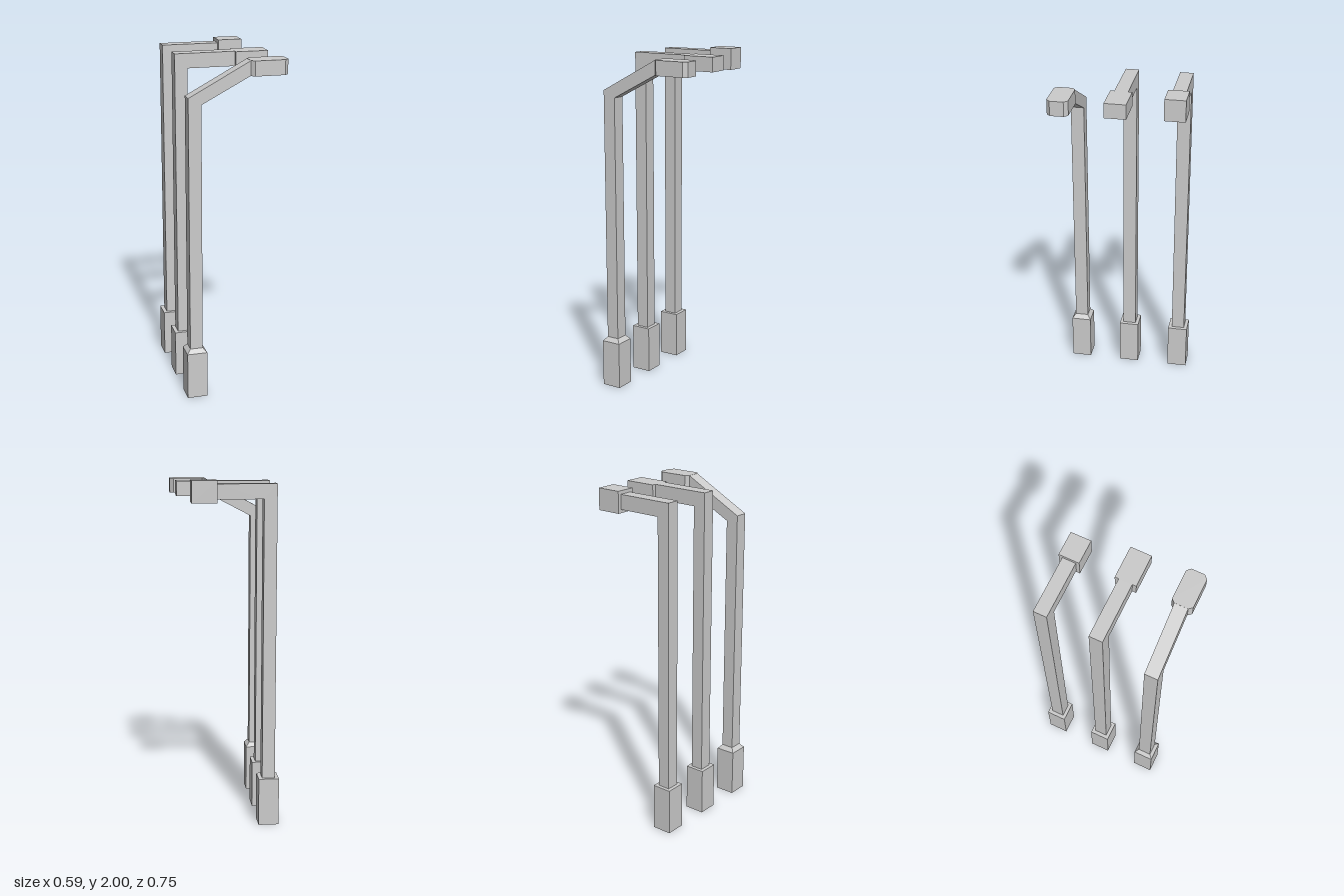
import * as THREE from 'three';

const material = new THREE.MeshStandardMaterial({ color: 0xcccccc, flatShading: true });

// Outline pushed along z, centred on z = 0
function extrude(points, depth) {
  const shape = new THREE.Shape(points.map(([x, y]) => new THREE.Vector2(x, y)));
  return new THREE.ExtrudeGeometry(shape, { depth, bevelEnabled: false }).translate(0, 0, -depth / 2);
}

// Box given by its x and y limits, centred on z = 0
function box(x0, x1, y0, y1, depth) {
  return new THREE.BoxGeometry(x1 - x0, y1 - y0, depth).translate((x0 + x1) / 2, (y0 + y1) / 2, 0);
}

function createLamp(name, z, parts) {
  const lamp = new THREE.Group();
  lamp.name = name;
  lamp.position.z = z;
  for (const [part, geometry] of Object.entries(parts)) {
    const mesh = new THREE.Mesh(geometry, material);
    mesh.name = part;
    lamp.add(mesh);
  }
  return lamp;
}

export function createModel() {
  const group = new THREE.Group();
  group.name = 'streetLamps';

  const poleLeft = -0.273, poleRight = -0.199, poleDepth = 0.078;
  const poleX = (poleLeft + poleRight) / 2;
  const base = () => box(-0.295, -0.177, 0, 0.28, 0.119);

  // Pole and level arm as one bent bar
  const squareArm = (end) => extrude([
    [poleLeft, 0.28], [poleRight, 0.28], [poleRight, 1.895],
    [end, 1.895], [end, 1.98], [poleLeft, 1.98],
  ], poleDepth);

  // Pole with a slanted arm
  const slantedArm = extrude([
    [poleLeft, 0.3], [poleRight, 0.3], [poleRight, 1.75],
    [0.08, 1.896], [0.08, 1.979], [poleLeft, 1.79],
  ], poleDepth);

  // Sloped collar: a box whose top is drawn in to the pole
  const collar = new THREE.BoxGeometry(0.118, 0.025, 0.119);
  const p = collar.attributes.position;
  for (let i = 0; i < p.count; i++) {
    if (p.getY(i) > 0) {
      p.setX(i, Math.sign(p.getX(i)) * (poleRight - poleLeft) / 2);
      p.setZ(i, Math.sign(p.getZ(i)) * poleDepth / 2);
    }
  }
  collar.translate(poleX, 0.2925, 0);

  // Head with cut corners, drawn in plan and stood upright
  const cutHead = extrude([
    [0.08, -0.039], [0.098, -0.06], [0.271, -0.06], [0.293, -0.039],
    [0.293, 0.039], [0.271, 0.06], [0.098, 0.06], [0.08, 0.039],
  ], 0.085).rotateX(-Math.PI / 2).translate(0, 1.9375, 0);

  group.add(
    createLamp('slantedLamp', 0.313, { base: base(), collar, poleAndArm: slantedArm, lampHead: cutHead }),
    createLamp('flatHeadLamp', -0.002, {
      base: base(), poleAndArm: squareArm(0.08), lampHead: box(0.08, 0.271, 1.895, 1.98, 0.123),
    }),
    createLamp('boxHeadLamp', -0.318, {
      base: base(), poleAndArm: squareArm(0.062), lampHead: box(0.062, 0.205, 1.875, 2, 0.119),
    }),
  );
  return group;
}
